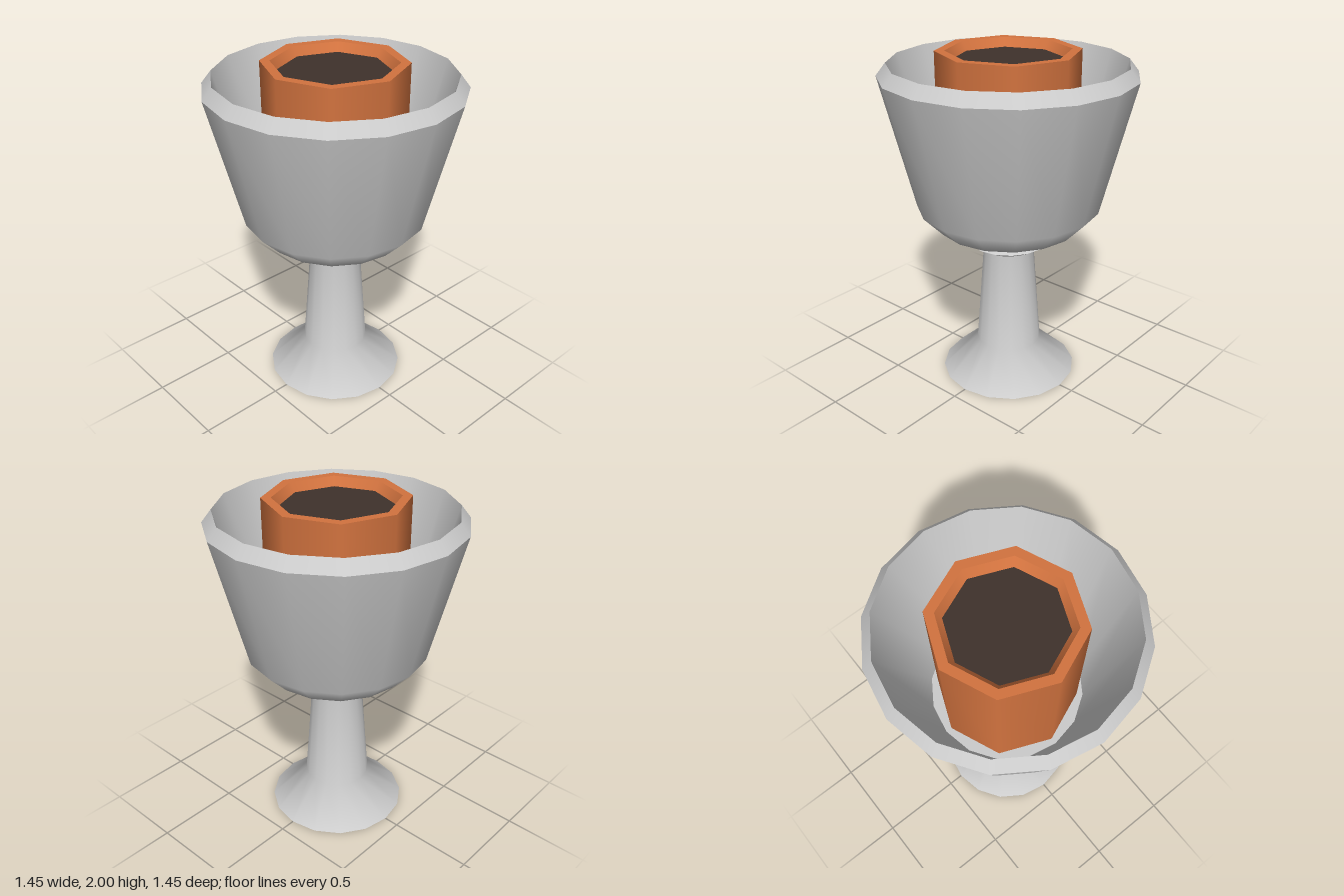
import * as THREE from 'three';

const grey = new THREE.MeshStandardMaterial({ color: 0xcccccc });
const greyThin = new THREE.MeshStandardMaterial({ color: 0xcccccc, side: THREE.DoubleSide });
const terracotta = new THREE.MeshStandardMaterial({ color: 0xd2733f });
const dark = new THREE.MeshStandardMaterial({ color: 0x3f322b });

// Turned part: each band is smooth in itself, with sharp edges between bands.
// Profiles run upward for outer walls, downward for inner walls.
function turned(name, sides, material, bands) {
  const group = new THREE.Group();
  group.name = name;
  bands.forEach((band, i) => {
    const points = band.map(([r, y]) => new THREE.Vector2(r, y));
    const mesh = new THREE.Mesh(new THREE.LatheGeometry(points, sides), material);
    mesh.name = `${name}Band${i + 1}`;
    group.add(mesh);
  });
  return group;
}

export function createModel() {
  const model = new THREE.Group();
  model.name = 'goblet';

  // Hollow flared foot running into the tapered stem
  model.add(turned('footAndStem', 16, greyThin, [
    [[0.41, 0], [0.195, 0.2], [0.15, 0.82]],
  ]));

  // Collar between stem and bowl
  model.add(turned('collar', 16, grey, [
    [[0.15, 0.82], [0.24, 0.87]],
    [[0.24, 0.87], [0.2, 0.91]],
  ]));

  // Bowl: outer wall, bevelled rim, inner wall, floor
  model.add(turned('bowl', 16, grey, [
    [[0.2, 0.91], [0.42, 0.98], [0.535, 1.1], [0.725, 1.87]],
    [[0.725, 1.87], [0.67, 1.94]],
    [[0.67, 1.94], [0.44, 1.1]],
    [[0.44, 1.1], [0, 1.1]],
  ]));

  // Eight-sided cup standing inside the bowl
  model.add(turned('innerCup', 8, terracotta, [
    [[0.405, 1.1], [0.405, 2]],
    [[0.405, 2], [0.35, 2]],
    [[0.35, 2], [0.315, 1.95]],
  ]));

  // Dark filling of the cup
  model.add(turned('filling', 8, dark, [
    [[0.315, 1.95], [0, 1.95]],
  ]));

  return model;
}
